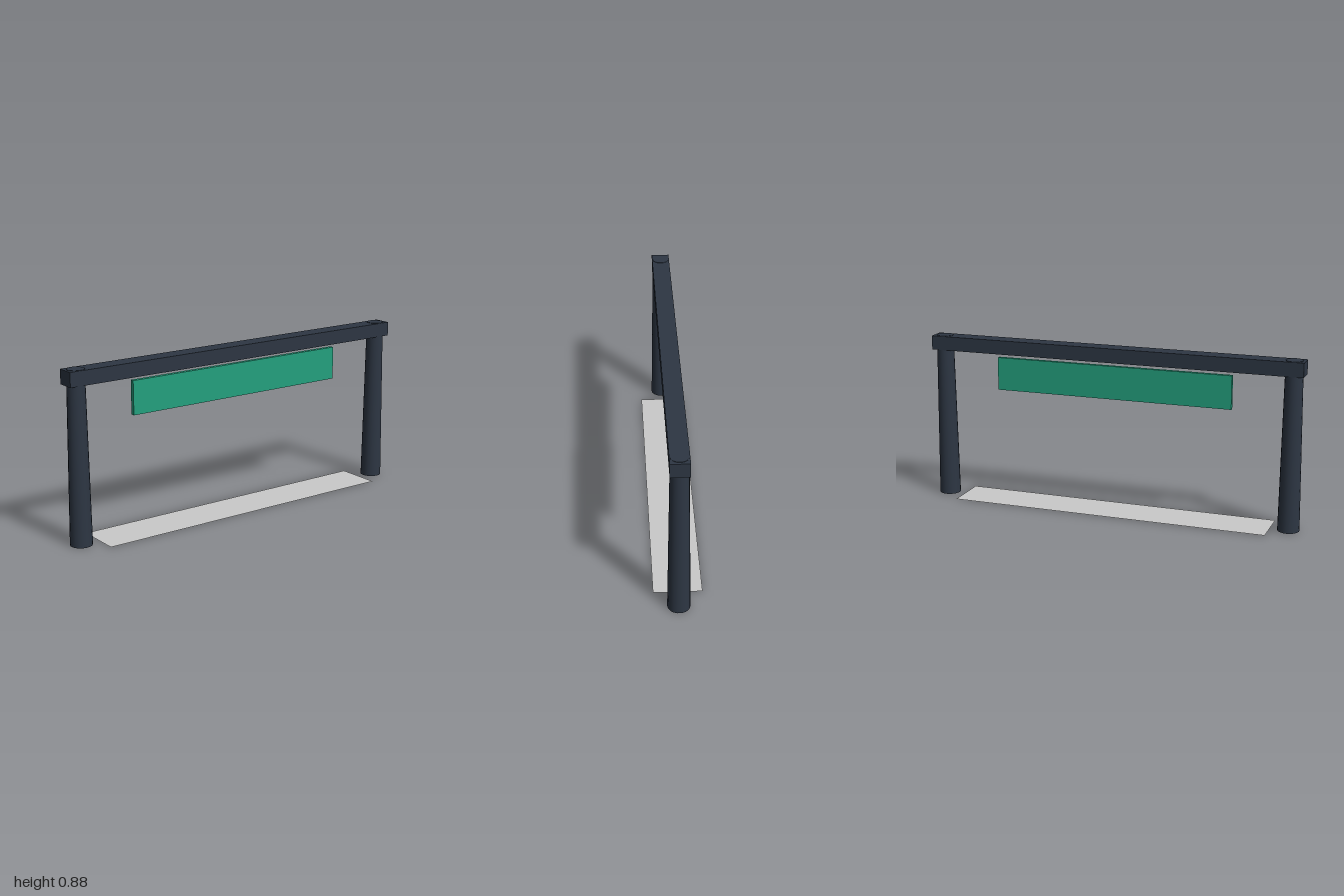
import * as THREE from 'three';

export function createModel() {
  const model = new THREE.Group();
  const frame = new THREE.MeshStandardMaterial({ color: 0x2d3643 });
  const green = new THREE.MeshStandardMaterial({ color: 0x24a07e });
  const grey = new THREE.MeshStandardMaterial({ color: 0xcacaca, side: THREE.DoubleSide });
  frame.name = 'dark slate';
  green.name = 'green';
  grey.name = 'light grey';

  const add = (name, geometry, material, x, y, z = 0) => {
    const mesh = new THREE.Mesh(geometry, material);
    mesh.name = name;
    mesh.position.set(x, y, z);
    model.add(mesh);
    return mesh;
  };

  // Tapered posts, their tops standing just proud of the beam
  const postHeight = 0.877;
  const postGeometry = new THREE.CylinderGeometry(0.044, 0.056, postHeight, 18);
  for (const [name, side] of [['leftPost', 1], ['rightPost', -1]]) {
    add(name, postGeometry, frame, side * 0.944, postHeight / 2);
  }

  // Beam across the top
  add('topBeam', new THREE.BoxGeometry(2, 0.074, 0.094), frame, 0, 0.838);

  // Sign panel hanging below the beam
  add('signPanel', new THREE.BoxGeometry(1.27, 0.174, 0.022), green, 0, 0.689);

  // Flat strip on the ground between the posts
  const strip = add('groundStrip', new THREE.PlaneGeometry(1.7, 0.24), grey, 0, 0.001);
  strip.rotation.x = -Math.PI / 2;

  return model;
}
